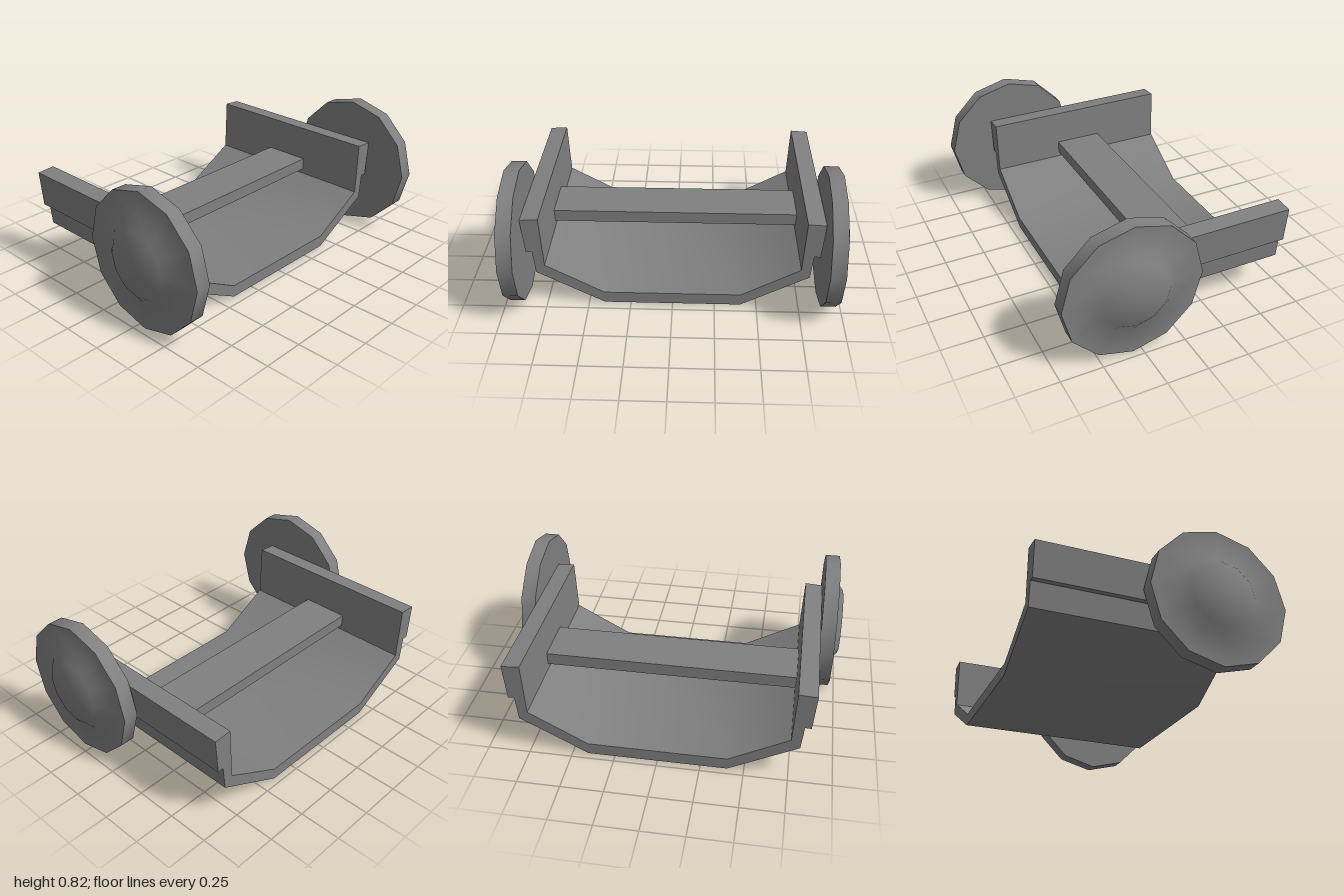
import * as THREE from 'three';
import { toCreasedNormals } from 'three/addons/utils/BufferGeometryUtils.js';

const CREASE = 0.9;

export function createModel() {
  const group = new THREE.Group();
  const material = new THREE.MeshStandardMaterial({ color: 0x808080 });
  const add = (name, geometry) => {
    const mesh = new THREE.Mesh(geometry, material);
    mesh.name = name;
    group.add(mesh);
    return mesh;
  };

  // Trough: half outline from bottom centre, up the outside with the rail step, back along the inside
  const outer = [[0.405, 0.008], [0.803, 0.22], [0.817, 0.367], [0.853, 0.365], [0.87, 0.581], [0.764, 0.588]];
  const inner = [[0.75, 0.27], [0.405, 0.08]];
  const half = [...outer, ...inner];
  const mirrored = half.map(([x, y]) => [-x, y]).reverse();
  const outline = [...half, ...mirrored].map(([x, y]) => new THREE.Vector2(x, y));
  const zBack = -0.715, zFront = 0.447;
  const trough = new THREE.ExtrudeGeometry(new THREE.Shape(outline), {
    depth: zFront - zBack, bevelEnabled: false,
  });
  trough.translate(0, 0, zBack);
  add('trough', toCreasedNormals(trough, CREASE));

  // Cross bar let into the side walls
  add('crossBar', new THREE.BoxGeometry(1.52, 0.075, 0.295)).position.set(0, 0.3375, -0.1345);

  // Twelve-sided wheels with a bevelled hub on the outer face
  const profile = [[0, 0.872], [0.412, 0.872], [0.412, 0.96], [0.247, 0.96], [0.195, 1], [0, 1]]
    .map(([r, h]) => new THREE.Vector2(r, h));
  const wheel = toCreasedNormals(new THREE.LatheGeometry(profile, 12).rotateZ(-Math.PI / 2), CREASE);
  for (const [name, turn] of [['leftWheel', 0], ['rightWheel', Math.PI]]) {
    const mesh = add(name, wheel);
    mesh.rotation.y = turn;
    mesh.position.set(0, 0.413, 0.303);
  }

  return group;
}
